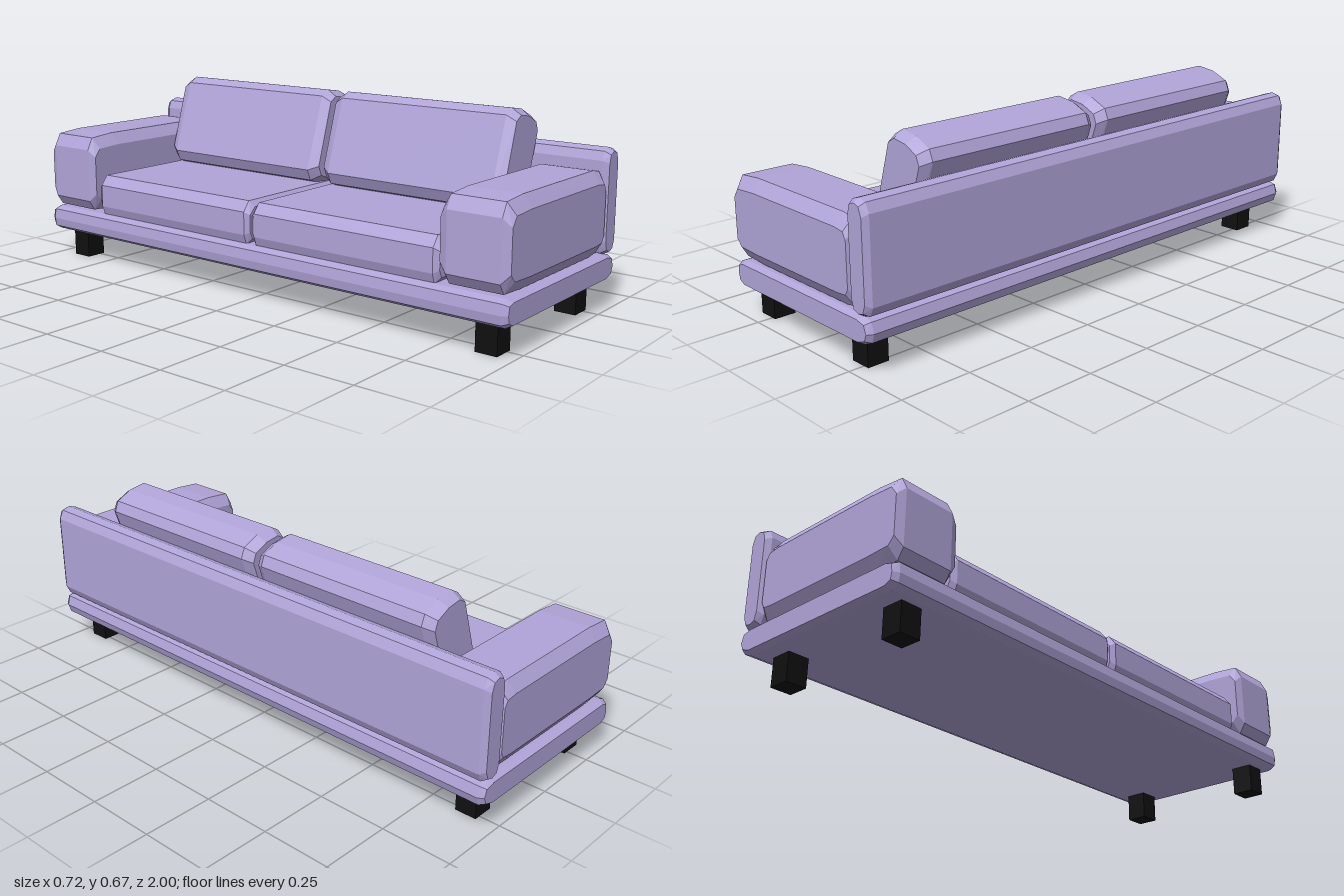
import * as THREE from 'three';
import { ConvexGeometry } from 'three/addons/geometries/ConvexGeometry.js';

const fabric = new THREE.MeshStandardMaterial({ color: 0xb0a4d8, flatShading: true });
const black = new THREE.MeshStandardMaterial({ color: 0x101010 });

// Faceted upholstered block: an xy profile run from z0 to z1, with the end
// faces shrunk by insetX / insetY over a bevel of the given length.
function padded(name, profile, z0, z1, bevel, insetX, insetY) {
  const box = new THREE.Box2().setFromPoints(profile.map(([x, y]) => new THREE.Vector2(x, y)));
  const c = box.getCenter(new THREE.Vector2());
  const s = box.getSize(new THREE.Vector2());
  const points = [];
  for (const [x, y] of profile) {
    const ex = c.x + (x - c.x) * (1 - 2 * insetX / s.x);
    const ey = c.y + (y - c.y) * (1 - 2 * insetY / s.y);
    points.push(
      new THREE.Vector3(ex, ey, z0), new THREE.Vector3(x, y, z0 + bevel),
      new THREE.Vector3(x, y, z1 - bevel), new THREE.Vector3(ex, ey, z1)
    );
  }
  const mesh = new THREE.Mesh(new ConvexGeometry(points), fabric);
  mesh.name = name;
  return mesh;
}

export function createModel() {
  const sofa = new THREE.Group();
  sofa.name = 'sofa';

  // Base platform
  sofa.add(padded('base', [
    [-0.36, 0.145], [-0.355, 0.115], [-0.33, 0.1], [0.31, 0.1], [0.345, 0.115],
    [0.355, 0.145], [0.345, 0.18], [0.31, 0.19], [-0.33, 0.19], [-0.355, 0.18]
  ], -1, 1, 0.02, 0.012, 0.01));

  // Back panel
  sofa.add(padded('backPanel', [
    [0.268, 0.23], [0.28, 0.197], [0.31, 0.188], [0.34, 0.195], [0.355, 0.225],
    [0.355, 0.505], [0.34, 0.537], [0.31, 0.545], [0.28, 0.535], [0.268, 0.505]
  ], -1, 1, 0.02, 0.012, 0.012));

  // Arms, slightly crowned on top
  const armProfile = [
    [-0.353, 0.235], [-0.33, 0.2], [-0.235, 0.195], [0.22, 0.195], [0.262, 0.2], [0.275, 0.23],
    [0.275, 0.44], [0.262, 0.472], [0.22, 0.48], [-0.235, 0.482], [-0.33, 0.474], [-0.353, 0.43]
  ];
  for (const [name, z] of [['rearArm', -0.875], ['nearArm', 0.88]])
    sofa.add(padded(name, armProfile, z - 0.12, z + 0.12, 0.028, 0.012, 0.042));

  // Seat cushions and the leaning back cushions
  const seatProfile = [
    [-0.332, 0.22], [-0.32, 0.185], [0.27, 0.185], [0.28, 0.22],
    [0.28, 0.31], [0.265, 0.335], [-0.305, 0.335], [-0.332, 0.3]
  ];
  const backProfile = [
    [0.04, 0.385], [0.058, 0.345], [0.12, 0.322], [0.185, 0.33], [0.222, 0.36],
    [0.3, 0.59], [0.285, 0.627], [0.225, 0.655], [0.16, 0.665], [0.125, 0.645]
  ];
  for (const [i, z] of [-0.38, 0.375].entries()) {
    sofa.add(padded('seatCushion' + (i + 1), seatProfile, z - 0.373, z + 0.373, 0.018, 0.012, 0.02));
    sofa.add(padded('backCushion' + (i + 1), backProfile, z - 0.366, z + 0.366, 0.035, 0.022, 0.022));
  }

  // Square legs
  for (const x of [-0.272, 0.233])
    for (const z of [-0.888, 0.908]) {
      const leg = new THREE.Mesh(new THREE.BoxGeometry(0.076, 0.105, 0.076), black);
      leg.position.set(x, 0.0525, z);
      leg.name = 'leg';
      sofa.add(leg);
    }

  return sofa;
}
